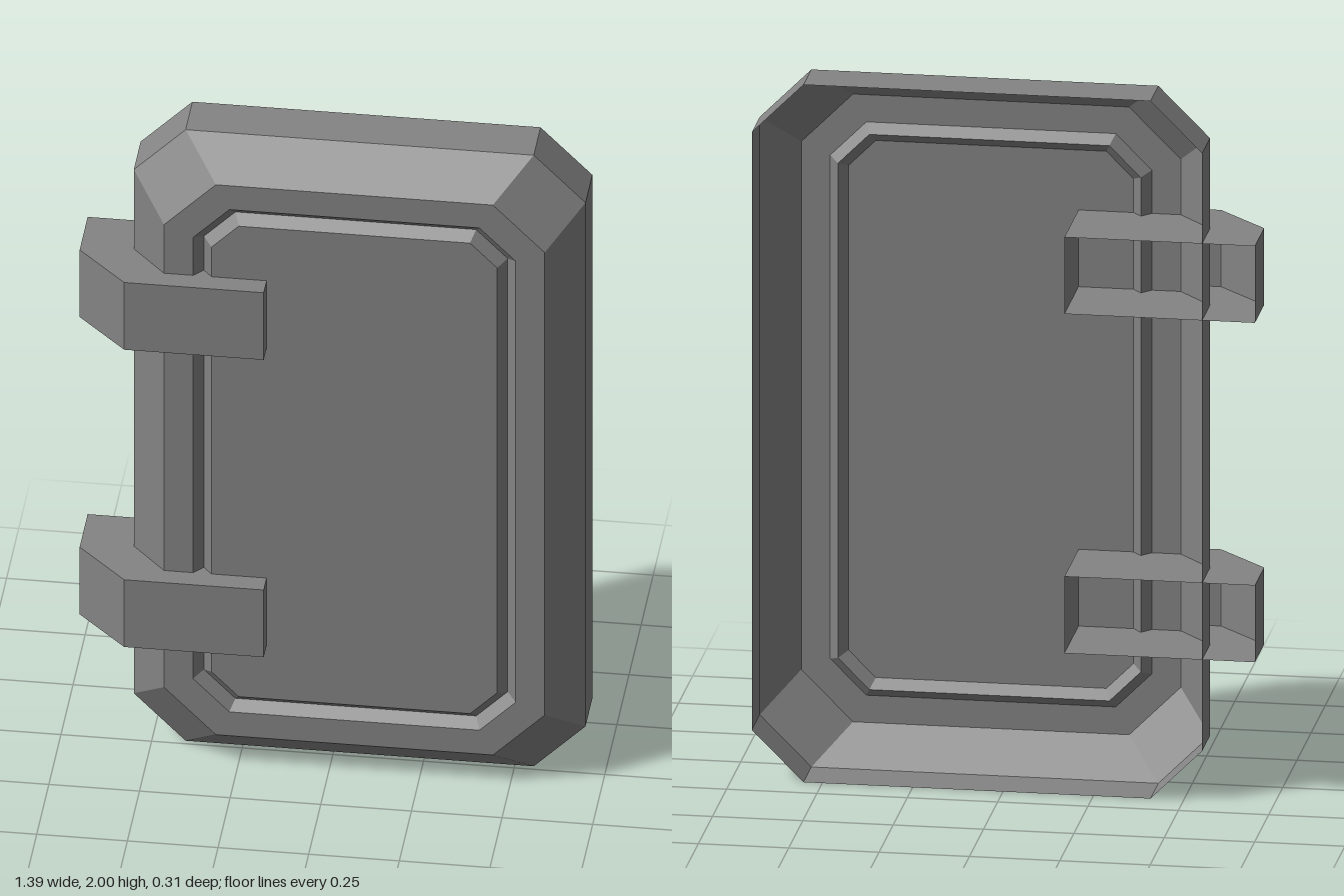
import * as THREE from 'three';

const material = new THREE.MeshStandardMaterial({
  color: 0x848484, flatShading: true, side: THREE.DoubleSide,
});

// Quads between two matching loops of points
function skin(a, b, closed = true) {
  const out = [];
  const count = closed ? a.length : a.length - 1;
  for (let i = 0; i < count; i++) {
    const j = (i + 1) % a.length;
    out.push(a[i], a[j], b[j], a[i], b[j], b[i]);
  }
  return out;
}

// Flat cap over a convex loop
function fan(loop) {
  const out = [];
  for (let i = 1; i < loop.length - 1; i++) out.push(loop[0], loop[i], loop[i + 1]);
  return out;
}

function makeMesh(name, points) {
  const geometry = new THREE.BufferGeometry().setFromPoints(points);
  geometry.computeVertexNormals();
  const mesh = new THREE.Mesh(geometry, material);
  mesh.name = name;
  return mesh;
}

// Rectangle with cut corners, counter-clockwise from the front
function octagon(halfW, halfH, cut, z) {
  const w = halfW - cut, h = halfH - cut;
  return [
    [-w, -halfH], [w, -halfH], [halfW, -h], [halfW, h],
    [w, halfH], [-w, halfH], [-halfW, h], [-halfW, -h],
  ].map(([x, y]) => new THREE.Vector3(x + 0.072, y + 1, z));
}

// Hinge bracket: folded strip with top and bottom plates, open at the back
function makeHinge(y) {
  const outline = [[-0.17, -0.155], [-0.17, 0.155], [-0.555, 0.155], [-0.697, 0.01], [-0.697, -0.155]];
  const level = (h) => outline.map(([x, z]) => new THREE.Vector3(x, h, z));
  const low = level(y - 0.11), high = level(y + 0.11);
  return makeMesh('hinge', [
    ...skin(high, low, false),
    ...fan(low),
    ...fan([...high].reverse()),
  ]);
}

export function createModel() {
  const group = new THREE.Group();
  group.name = 'hatchDoor';

  // Door shell: side wall, chamfer, flat border and V groove
  const back = octagon(0.623, 1, 0.143, -0.155);
  const shoulder = octagon(0.623, 1, 0.143, -0.015);
  const rim = octagon(0.525, 0.9, 0.143, 0.095);
  const grooveOuter = octagon(0.445, 0.822, 0.1, 0.095);
  const grooveBottom = octagon(0.419, 0.796, 0.087, 0.065);
  const grooveInner = octagon(0.394, 0.77, 0.075, 0.095);

  group.add(
    makeMesh('doorEdge', skin(back, shoulder)),
    makeMesh('doorChamfer', skin(shoulder, rim)),
    makeMesh('doorBorder', skin(rim, grooveOuter)),
    makeMesh('doorGroove', [...skin(grooveOuter, grooveBottom), ...skin(grooveBottom, grooveInner)]),
    makeMesh('doorPanel', fan(grooveInner)),
  );

  for (const y of [0.515, 1.488]) group.add(makeHinge(y));
  return group;
}
